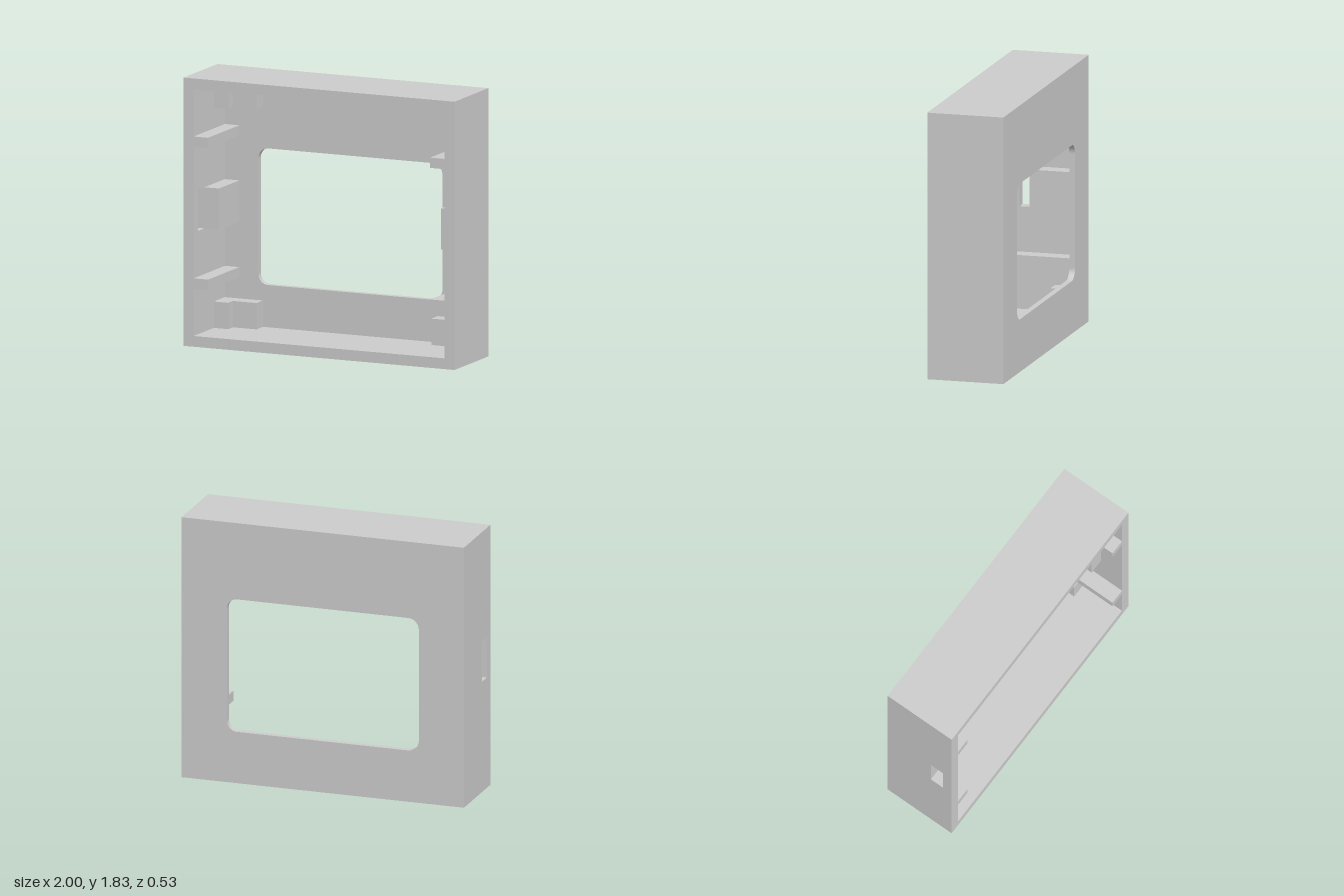
import * as THREE from 'three';

const material = new THREE.MeshStandardMaterial({ color: 0xcccccc });

// Overall size, wall thickness and inner limits
const H = 1.825, Z = 0.265, WALL = 0.073, IN = 1 - WALL;
const FLOOR = -0.225, LEDGE = 0.82;

export function createModel() {
  const group = new THREE.Group();

  const add = (name, geometry) => {
    const mesh = new THREE.Mesh(geometry, material);
    mesh.name = name;
    group.add(mesh);
  };

  // Box given by its limits on each axis
  const block = (name, x0, x1, y0, y1, z0, z1) => {
    const g = new THREE.BoxGeometry(x1 - x0, y1 - y0, z1 - z0);
    add(name, g.translate((x0 + x1) / 2, (y0 + y1) / 2, (z0 + z1) / 2));
  };

  // The same box on either side
  const pair = (name, x0, x1, ...rest) => {
    block(name + 'Left', x0, x1, ...rest);
    block(name + 'Right', -x1, -x0, ...rest);
  };

  const rect = (Type, x0, x1, y0, y1) => {
    const p = new Type();
    p.moveTo(x0, y0).lineTo(x1, y0).lineTo(x1, y1).lineTo(x0, y1).closePath();
    return p;
  };

  // Back panel with a rounded window
  const panel = rect(THREE.Shape, -1, 1, 0, H);
  const w = 0.68, b = 0.36, t = 1.29, r = 0.075;
  const opening = new THREE.Path();
  opening.moveTo(-w + r, b).lineTo(w - r, b);
  opening.absarc(w - r, b + r, r, -Math.PI / 2, 0);
  opening.absarc(w - r, t - r, r, 0, Math.PI / 2);
  opening.absarc(-w + r, t - r, r, Math.PI / 2, Math.PI);
  opening.absarc(-w + r, b + r, r, Math.PI, Math.PI * 1.5);
  panel.holes.push(opening);
  add('backPanel', new THREE.ExtrudeGeometry(panel, {
    depth: FLOOR + Z, bevelEnabled: false, curveSegments: 10,
  }).translate(0, 0, -Z));

  // Outer walls
  block('bottomWall', -1, 1, 0, WALL, FLOOR, Z);
  block('topWall', -1, 1, H - WALL, H, FLOOR, Z);
  block('leftWall', IN, 1, WALL, H - WALL, FLOOR, Z);

  // Right wall, pierced by a slot
  const side = rect(THREE.Shape, FLOOR, Z, WALL, H - WALL);
  side.holes.push(rect(THREE.Path, 0.093, 0.195, 0.775, 1.055));
  add('rightWall', new THREE.ExtrudeGeometry(side, { depth: WALL, bevelEnabled: false })
    .rotateY(-Math.PI / 2).translate(-IN, 0, 0));

  // Ribs and middle blocks along the side walls
  pair('lowerRib', LEDGE, IN, 0.395, 0.465, FLOOR, Z);
  pair('upperRib', LEDGE, IN, 1.36, 1.43, FLOOR, Z);
  pair('middleBlock', LEDGE, IN, 0.775, 1.055, FLOOR, 0.093);

  // Stepped blocks in the four inner corners
  for (const [name, y0, y1] of [['lower', WALL, 0.252], ['upper', 1.573, H - WALL]]) {
    pair(name + 'CornerBlock', LEDGE, IN, y0, y1, FLOOR, -0.052);
    pair(name + 'CornerStep', 0.645, LEDGE, y0, y1, FLOOR, -0.125);
  }

  return group;
}
